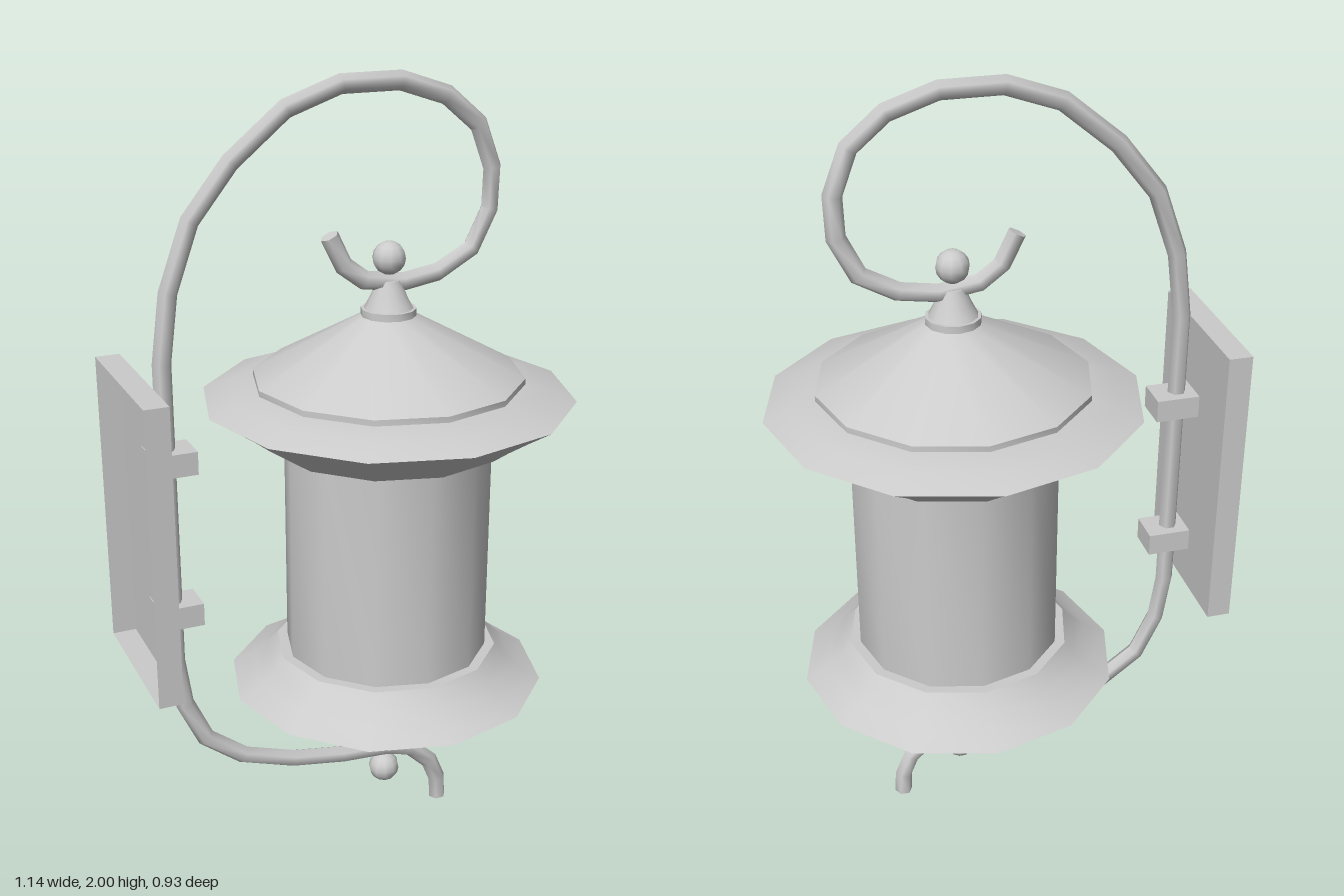
import * as THREE from 'three';
import { toCreasedNormals } from 'three/addons/utils/BufferGeometryUtils.js';

const material = new THREE.MeshStandardMaterial({ color: 0xcccccc, side: THREE.DoubleSide });
const AXIS_X = 0.105; // vertical axis of the lantern body
const SIDES = 12;

function add(parent, name, geometry, x = 0, y = 0, z = 0) {
  const mesh = new THREE.Mesh(geometry, material);
  mesh.name = name;
  mesh.position.set(x, y, z);
  parent.add(mesh);
  return mesh;
}

// Twelve-sided turned part from [radius, height] pairs, listed bottom to top
function turned(profile) {
  const points = profile.map(([r, y]) => new THREE.Vector2(r, y));
  return toCreasedNormals(new THREE.LatheGeometry(points, SIDES), 0.62);
}

// Six-sided rod swept along a path in the xy plane, with mitred joints and capped ends
function sweptRod(path, radius) {
  const pts = path.map(([x, y]) => new THREE.Vector2(x, y));
  const positions = [], index = [], n = pts.length;
  pts.forEach((p, i) => {
    const before = p.clone().sub(pts[Math.max(i - 1, 0)]).normalize();
    const after = pts[Math.min(i + 1, n - 1)].clone().sub(p).normalize();
    const t = before.add(after).normalize();
    for (let k = 0; k < 6; k++) {
      const a = k * Math.PI / 3, side = radius * Math.cos(a);
      positions.push(p.x - t.y * side, p.y + t.x * side, radius * Math.sin(a));
      if (i < n - 1) {
        const a0 = i * 6 + k, a1 = i * 6 + (k + 1) % 6;
        index.push(a0, a1, a0 + 6, a1, a1 + 6, a0 + 6);
      }
    }
  });
  const end = (n - 1) * 6;
  for (let k = 1; k < 5; k++) index.push(0, k + 1, k, end, end + k, end + k + 1);
  const geometry = new THREE.BufferGeometry();
  geometry.setAttribute('position', new THREE.Float32BufferAttribute(positions, 3));
  geometry.setIndex(index);
  return toCreasedNormals(geometry, 1.1);
}

export function createModel() {
  const model = new THREE.Group();
  model.name = 'wallLantern';

  // Wall plate: shallow tray, open toward the wall (-x)
  const tray = new THREE.BoxGeometry(0.06, 0.75, 0.41);
  const faces = Array.from(tray.index.array);
  faces.splice(6, 6);
  tray.setIndex(faces);
  tray.clearGroups();
  add(model, 'wallPlate', tray, -0.545, 0.965, 0);

  // Clamps holding the arm to the plate
  for (const y of [0.73, 1.13]) {
    add(model, 'armClamp', new THREE.BoxGeometry(0.112, 0.058, 0.09), -0.461, y, 0);
  }

  // Scrolled arm, from the curl above the lantern to the tail below it
  add(model, 'scrollArm', sweptRod([
    [-0.05, 1.63], [-0.013, 1.555], [0.04, 1.515], [0.14, 1.5], [0.235, 1.515],
    [0.325, 1.565], [0.372, 1.66], [0.375, 1.76], [0.335, 1.865], [0.25, 1.937],
    [0.13, 1.977], [-0.02, 1.977], [-0.155, 1.93], [-0.29, 1.82], [-0.39, 1.695],
    [-0.448, 1.535], [-0.47, 1.37], [-0.47, 0.59], [-0.452, 0.465], [-0.4, 0.352],
    [-0.3, 0.275], [-0.16, 0.228], [-0.02, 0.205], [0.105, 0.197], [0.185, 0.175],
    [0.243, 0.12], [0.267, 0.06], [0.27, 0],
  ], 0.0235));

  // Lantern body
  const lantern = new THREE.Group();
  lantern.name = 'lantern';
  lantern.position.x = AXIS_X;
  model.add(lantern);

  add(lantern, 'glassCylinder', turned([[0.262, 0.5], [0.262, 1.15]]));

  add(lantern, 'lowerRim', turned([
    [0, 0.41], [0.3, 0.41], [0.41, 0.44], [0.352, 0.472], [0.315, 0.505], [0.288, 0.535], [0, 0.535],
  ]));
  add(lantern, 'lowerCone', turned([
    [0, 0.255], [0.065, 0.255], [0.065, 0.268], [0.302, 0.395], [0.302, 0.415],
  ]));
  add(lantern, 'lowerNeck', turned([[0, 0.2], [0.028, 0.2], [0.048, 0.23], [0.06, 0.258]]));

  add(lantern, 'upperRim', turned([
    [0, 1.112], [0.312, 1.112], [0.352, 1.142], [0.405, 1.178], [0.465, 1.217],
    [0.4, 1.241], [0.335, 1.258], [0, 1.262],
  ]));
  add(lantern, 'roofCone', turned([
    [0.338, 1.25], [0.338, 1.272], [0.068, 1.422], [0.068, 1.44], [0, 1.44],
  ]));
  add(lantern, 'upperNeck', turned([[0.063, 1.435], [0.045, 1.47], [0.028, 1.51], [0, 1.51]]));

  // Ball finials above and below
  for (const y of [0.137, 1.563]) {
    add(lantern, 'ballFinial', new THREE.SphereGeometry(0.041, 10, 8), 0, y, 0);
  }
  return model;
}
